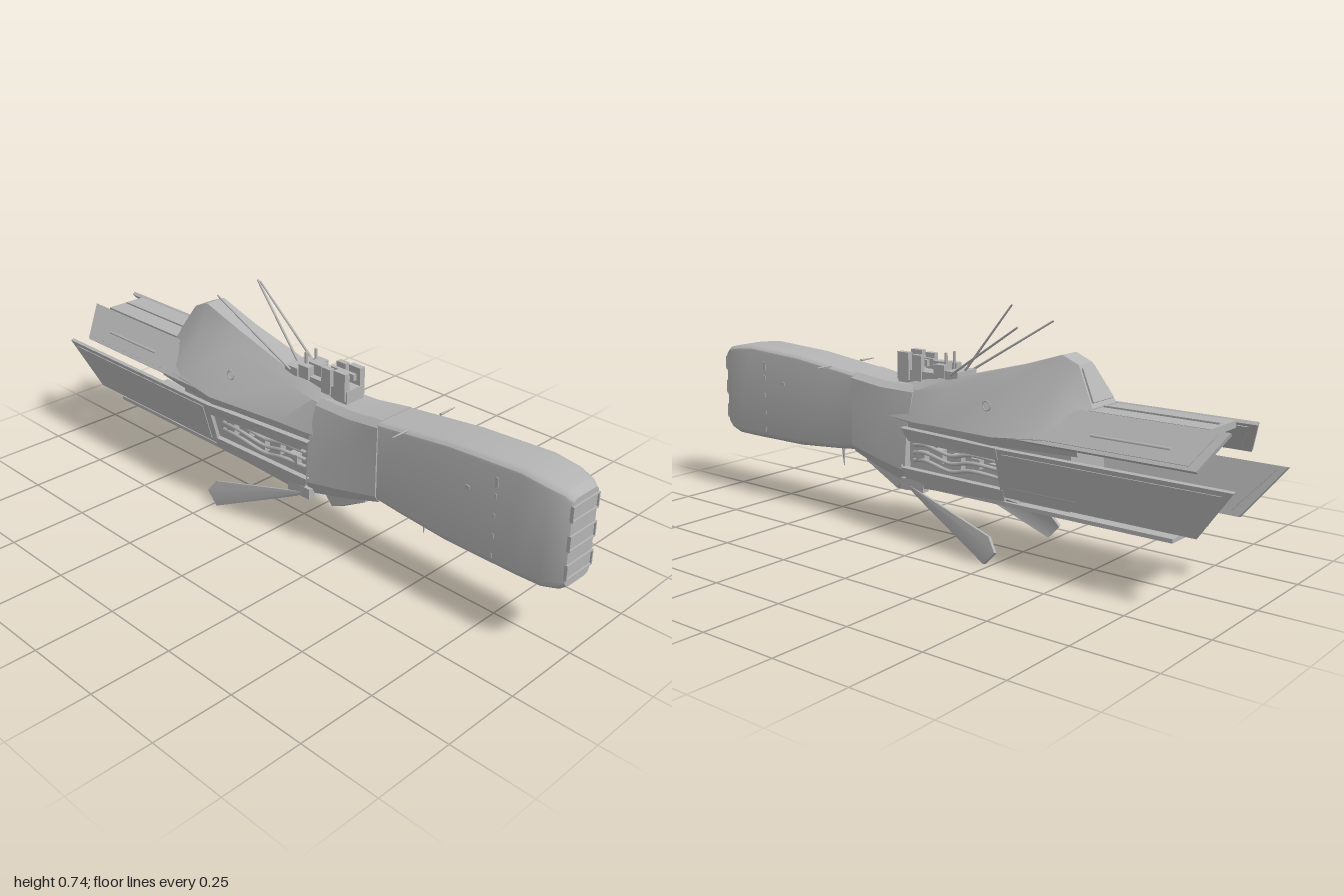
import * as THREE from 'three';
import { toCreasedNormals } from 'three/addons/utils/BufferGeometryUtils.js';

const V = (x, y, z) => new THREE.Vector3(x, y, z);

// Closed skin over rings of points, capped at both ends
function skin(rings, crease = 0.45) {
  const n = rings[0].length, pos = [];
  const tri = (...p) => p.forEach(v => pos.push(v.x, v.y, v.z));
  for (let i = 0; i < rings.length - 1; i++) {
    const A = rings[i], B = rings[i + 1];
    for (let j = 0; j < n; j++) {
      const k = (j + 1) % n;
      tri(A[j], A[k], B[j]);
      tri(A[k], B[k], B[j]);
    }
  }
  const F = rings[0], L = rings[rings.length - 1];
  for (let j = 1; j < n - 1; j++) {
    tri(F[0], F[j + 1], F[j]);
    tri(L[0], L[j], L[j + 1]);
  }
  const g = new THREE.BufferGeometry();
  g.setAttribute('position', new THREE.Float32BufferAttribute(pos, 3));
  return toCreasedNormals(g, crease);
}

// Loft of mirrored cross-sections: [z, [x, y], ...] from top to bottom, front to back
function loft(sections) {
  return skin(sections.map(([z, ...half]) => [
    ...half.map(([x, y]) => V(x, y, z)),
    ...half.slice().reverse().map(([x, y]) => V(-x, y, z)),
  ]));
}

// Flat polygon plate with thickness
function slab(points, t) {
  const n = points[1].clone().sub(points[0]).cross(points[2].clone().sub(points[0])).normalize();
  return skin([-t / 2, t / 2].map(d => points.map(p => p.clone().addScaledVector(n, d))));
}

// Half of a rounded rectangle section
function roundedSection(z, w, y0, y1, r) {
  const half = [];
  for (let i = 0; i <= 4; i++) {
    const a = i * Math.PI / 8;
    half.push([w - r + r * Math.sin(a), y1 - r * 0.7 * (1 - Math.cos(a))]);
  }
  for (let i = 0; i <= 4; i++) {
    const a = i * Math.PI / 8;
    half.push([w - r + r * Math.cos(a), y0 + r * (1 - Math.sin(a))]);
  }
  return [z, ...half];
}

export function createModel() {
  const model = new THREE.Group();
  const grey = new THREE.MeshStandardMaterial({ color: 0xb4b4b4 });
  grey.name = 'hull grey';

  const add = (name, geometry) => {
    const mesh = new THREE.Mesh(geometry, grey);
    mesh.name = name;
    model.add(mesh);
    return mesh;
  };
  const box = (name, w, h, d, x, y, z) => {
    const mesh = add(name, new THREE.BoxGeometry(w, h, d));
    mesh.position.set(x, y, z);
    return mesh;
  };
  const rod = (name, a, b, r0, r1 = r0) => {
    const dir = b.clone().sub(a);
    const mesh = add(name, new THREE.CylinderGeometry(r1, r0, dir.length(), 8));
    mesh.position.copy(a).addScaledVector(dir, 0.5);
    mesh.quaternion.setFromUnitVectors(V(0, 1, 0), dir.normalize());
    return mesh;
  };
  // Plate with a slightly raised inner panel
  const panel = (name, pts, t) => {
    add(name, slab(pts, t));
    const c = pts.reduce((s, p) => s.add(p), V(0, 0, 0)).divideScalar(pts.length);
    add(name + 'Inset', slab(pts.map(p => V(
      c.x + (p.x - c.x) * 0.82, c.y + (p.y - c.y) * 0.82, c.z + (p.z - c.z) * 0.92)), t + 0.005));
  };

  // Long rounded forward hull
  add('forwardHull', loft([
    roundedSection(0.995, 0.056, 0.228, 0.488, 0.022),
    roundedSection(0.975, 0.064, 0.214, 0.505, 0.026),
    roundedSection(0.93, 0.075, 0.206, 0.515, 0.026),
    roundedSection(0.85, 0.077, 0.206, 0.524, 0.024),
    roundedSection(0.62, 0.077, 0.208, 0.512, 0.022),
    roundedSection(0.46, 0.077, 0.222, 0.493, 0.02),
    roundedSection(0.365, 0.077, 0.232, 0.482, 0.02),
  ]));

  // Three framed bays on the nose
  for (const y of [0.447, 0.362, 0.277]) {
    box('noseBayPanel', 0.104, 0.036, 0.006, 0, y, 0.993);
    for (const s of [-1, 1]) {
      box('noseBaySide', 0.004, 0.046, 0.03, s * 0.056, y, 0.985);
      box('noseBayRail', 0.116, 0.004, 0.02, 0, y + s * 0.021, 0.99);
    }
  }

  // Neck flaring into the midsection
  add('neck', loft([
    [0.37, [0.06, 0.486], [0.08, 0.468], [0.082, 0.36], [0.082, 0.25], [0.065, 0.226]],
    [0.25, [0.055, 0.47], [0.075, 0.452], [0.088, 0.35], [0.098, 0.23], [0.08, 0.195]],
    [0.12, [0.05, 0.468], [0.072, 0.45], [0.1, 0.35], [0.112, 0.21], [0.09, 0.166]],
  ]));

  // Humped upper body
  add('upperBody', loft([
    [0.22, [0.025, 0.462], [0.06, 0.445], [0.085, 0.37], [0.08, 0.34]],
    [0.1, [0.035, 0.488], [0.065, 0.46], [0.1, 0.365], [0.095, 0.335]],
    [0.0, [0.042, 0.503], [0.066, 0.475], [0.115, 0.37], [0.11, 0.34]],
    [-0.25, [0.035, 0.568], [0.078, 0.515], [0.165, 0.382], [0.155, 0.355]],
    [-0.4, [0.035, 0.615], [0.075, 0.525], [0.155, 0.395], [0.145, 0.36]],
    [-0.455, [0.034, 0.592], [0.072, 0.505], [0.15, 0.395], [0.14, 0.36]],
    [-0.52, [0.062, 0.482], [0.07, 0.474], [0.14, 0.392], [0.13, 0.36]],
  ]));
  add('rearHumpPanel', slab([V(-0.03, 0.582, -0.462), V(0.03, 0.582, -0.462),
    V(0.052, 0.495, -0.514), V(-0.052, 0.495, -0.514)], 0.009));

  // Inner core, rear deck and belly plate
  box('engineCore', 0.17, 0.17, 0.6, 0, 0.27, -0.17);
  box('rearDeck', 0.14, 0.02, 0.4, 0, 0.468, -0.68);
  box('deckSpine', 0.012, 0.006, 0.38, 0, 0.48, -0.68);
  box('bellyPlate', 0.2, 0.012, 0.9, 0, 0.173, -0.35);

  // Wedge under the neck
  add('chinWedge', loft([
    [0.32, [0.066, 0.235], [0.068, 0.205], [0.03, 0.2]],
    [0.19, [0.072, 0.21], [0.07, 0.138], [0.02, 0.118]],
    [0.165, [0.072, 0.21], [0.07, 0.165], [0.02, 0.165]],
  ]));

  for (const s of [-1, 1]) {
    const P = (x, y, z) => V(s * x, y, z);

    // Slanted rear armour, upper and lower
    panel('upperRearPlate', [P(0.155, 0.383, -0.27), P(0.155, 0.383, -0.89),
      P(0.077, 0.476, -0.94), P(0.077, 0.476, -0.5), P(0.108, 0.438, -0.27)], 0.012);
    panel('lowerRearPlate', [P(0.158, 0.352, -0.26), P(0.158, 0.352, -0.995),
      P(0.118, 0.203, -0.88), P(0.118, 0.203, -0.26)], 0.012);
    rod('upperPlateStrip', P(0.128, 0.425, -0.56), P(0.128, 0.425, -0.8), 0.005);
    rod('lowerPlateStrip', P(0.131, 0.235, -0.3), P(0.131, 0.235, -0.52), 0.005);

    // Open machinery bay framed by two beams
    add('bayUpperBeam', slab([P(0.11, 0.348, 0.13), P(0.16, 0.354, -0.27),
      P(0.15, 0.318, -0.27), P(0.108, 0.312, 0.1)], 0.014));
    add('bayLowerBeam', slab([P(0.112, 0.225, 0.13), P(0.124, 0.225, -0.27),
      P(0.115, 0.19, -0.27), P(0.1, 0.166, 0.1)], 0.014));
    add('bayLowerShelf', slab([P(0.08, 0.172, 0.12), P(0.105, 0.18, 0.1),
      P(0.122, 0.203, -0.27), P(0.08, 0.18, -0.3)], 0.01));
    for (let i = 0; i < 5; i++) {
      box('bayBlock', 0.03, 0.03 + 0.012 * (i % 3), 0.035, s * 0.092, 0.265 + 0.012 * (i % 2), 0.06 - i * 0.07);
    }
    for (let i = 0; i < 3; i++) {
      const y = 0.245 + i * 0.024;
      add('bayPipe', new THREE.TubeGeometry(new THREE.CatmullRomCurve3([
        P(0.09, y, 0.1), P(0.112, y + 0.012, 0.03), P(0.108, y - 0.006, -0.06),
        P(0.12, y + 0.012, -0.15), P(0.1, y, -0.26)]), 20, 0.006, 6));
    }

    // Splayed lower fin and its bracket
    add('lowerFin', slab([P(0.106, 0.17, 0.11), P(0.152, 0.085, -0.24), P(0.163, 0.045, -0.27),
      P(0.163, 0.003, -0.23), P(0.108, 0.145, 0.08)], 0.011));
    box('finBracket', 0.025, 0.035, 0.09, s * 0.1, 0.172, 0.09);

    // Small side fittings
    rod('sideSpike', P(0.07, 0.494, 0.47), P(0.132, 0.494, 0.47), 0.004, 0.0015);
    rod('lowerSidePin', P(0.09, 0.227, 0.13), P(0.118, 0.227, 0.13), 0.003);
    rod('sideAntenna', P(0.048, 0.515, -0.01), P(0.088, 0.687, -0.285), 0.004, 0.003);
    for (const y of [0.24, 0.3, 0.36, 0.42]) box('hullMarker', 0.004, 0.014, 0.006, s * 0.077, y, 0.78);
    box('hullMarkerTall', 0.004, 0.03, 0.01, s * 0.077, 0.46, 0.78);
    box('hullPort', 0.006, 0.012, 0.014, s * 0.077, 0.41, 0.69);
    const port = add('bodyPort', new THREE.TorusGeometry(0.014, 0.002, 6, 12));
    port.position.set(s * 0.118, 0.458, -0.2);
    port.rotation.y = s * Math.PI / 2;

    // Paired deck blocks
    box('deckBlockFront', 0.02, 0.085, 0.045, s * 0.032, 0.522, 0.185);
    box('deckBlockRear', 0.018, 0.08, 0.035, s * 0.032, 0.52, 0.13);
    box('deckBlockCap', 0.012, 0.02, 0.09, s * 0.014, 0.535, 0.15);
    rod('deckPost', P(0.02, 0.48, 0.03), P(0.02, 0.575, 0.03), 0.005);
    box('deckStep', 0.025, 0.04, 0.04, s * 0.03, 0.52, 0.04);
  }

  // Central deck machinery, antenna and belly spike
  box('deckBase', 0.07, 0.05, 0.16, 0, 0.485, 0.13);
  box('deckHousing', 0.03, 0.05, 0.05, 0, 0.52, 0.06);
  box('antennaBase', 0.09, 0.025, 0.05, 0, 0.512, -0.01);
  rod('centreAntenna', V(0, 0.515, -0.02), V(0, 0.736, -0.2), 0.004, 0.003);
  rod('bellySpike', V(0, 0.23, 0.49), V(0, 0.148, 0.487), 0.007, 0.0015);

  return model;
}
